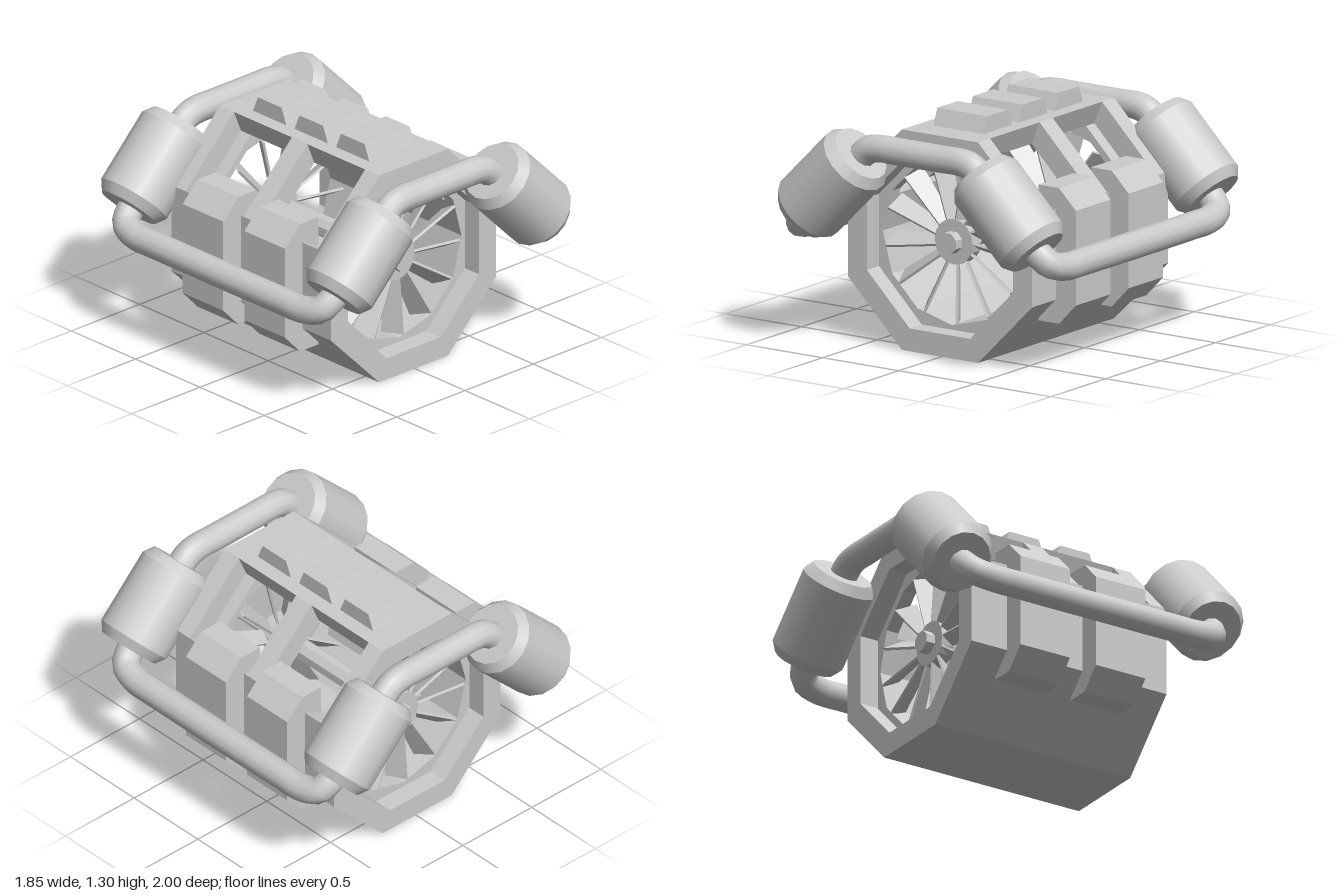
import * as THREE from 'three';

const mat = new THREE.MeshStandardMaterial({ color: 0xcccccc });
const flatMat = new THREE.MeshStandardMaterial({ color: 0xcccccc, flatShading: true });

const toShape = (pts) => new THREE.Shape(pts.map(([x, y]) => new THREE.Vector2(x, y)));

// Regular octagon with flat top, given its apothem
function octagon(a) {
  const h = a * Math.tan(Math.PI / 8);
  return [[h, a], [-h, a], [-a, h], [-a, -h], [-h, -a], [h, -a], [a, -h], [a, h]];
}

function polygon(n, r) {
  return Array.from({ length: n }, (_, i) => {
    const t = (i / n) * Math.PI * 2;
    return [Math.cos(t) * r, Math.sin(t) * r];
  });
}

function add(parent, name, geometry, material = flatMat) {
  const mesh = new THREE.Mesh(geometry, material);
  mesh.name = name;
  parent.add(mesh);
  return mesh;
}

// Extrude a profile along z between z0 and z1
function slab(parent, name, pts, z0, z1, hole) {
  const shape = toShape(pts);
  if (hole) shape.holes.push(toShape(hole));
  const geo = new THREE.ExtrudeGeometry(shape, { depth: z1 - z0, bevelEnabled: false });
  geo.translate(0, 0, z0);
  return add(parent, name, geo);
}

function pipe(parent, name, pts) {
  const curve = new THREE.CatmullRomCurve3(pts.map((p) => new THREE.Vector3(...p)), false, 'centripetal');
  return add(parent, name, new THREE.TubeGeometry(curve, 48, 0.076, 12, false), mat);
}

function createRotor() {
  const rotor = new THREE.Group();
  rotor.name = 'rotor';
  const hub = add(rotor, 'hub', new THREE.CylinderGeometry(0.125, 0.125, 0.08, 16));
  hub.rotation.x = Math.PI / 2;
  // Tapered pitched blade, wider at the tip
  const blade = new THREE.BoxGeometry(0.125, 0.35, 0.014);
  const p = blade.attributes.position;
  for (let i = 0; i < p.count; i++) if (p.getY(i) < 0) p.setX(i, p.getX(i) * 0.65);
  blade.rotateY(Math.PI / 3);
  blade.translate(0, 0.27, 0);
  const count = 13;
  for (let i = 0; i < count; i++) {
    add(rotor, 'blade', blade).rotation.z = ((i + 0.5) / count) * Math.PI * 2;
  }
  return rotor;
}

export function createModel() {
  const model = new THREE.Group();
  model.name = 'fanEngine';

  // Octagonal housing, built around its own axis
  const body = new THREE.Group();
  body.name = 'housing';
  body.position.set(-0.01, 0.605, -0.01);
  model.add(body);
  const outer = octagon(0.605), inner = octagon(0.48), bore = polygon(12, 0.455);

  for (const s of [-1, 1]) {
    const span = (a, b) => (s > 0 ? [a, b] : [-b, -a]);
    slab(body, 'endFrame', outer, ...span(0.51, 0.62), inner);
    slab(body, 'boreRing', inner, ...span(0.435, 0.51), bore);
  }

  // Lower five walls and the top wall; upper diagonals stay open
  slab(body, 'lowerShell', [...outer.slice(2), ...inner.slice(2).reverse()], -0.51, 0.51);
  slab(body, 'topWall', [outer[0], outer[1], inner[1], inner[0]], -0.51, 0.51);
  slab(body, 'middleRib', [outer[1], outer[2], inner[2], inner[1]], -0.06, 0.06);
  slab(body, 'middleRib', [outer[7], outer[0], inner[0], inner[7]], -0.06, 0.06);

  // Lower half of the bore lining, cut level below the openings
  const lowerBore = [...bore.filter(([, y]) => y < 0.1)];
  const arc = [...lowerBore].sort((a, b) => Math.atan2(a[0], -a[1] - 0.001) - Math.atan2(b[0], -b[1] - 0.001));
  slab(body, 'boreLining', [...inner.slice(2), [0.401, 0.199], ...arc.reverse(), [-0.401, 0.199]], -0.435, 0.435);

  // Shaft and the two fan rotors
  const shaftGeo = new THREE.CylinderGeometry(0.06, 0.06, 1.1, 8);
  shaftGeo.rotateY(Math.PI / 8);
  add(body, 'shaft', shaftGeo).rotation.x = Math.PI / 2;
  for (const s of [-1, 1]) {
    const rotor = createRotor();
    rotor.position.z = s * 0.455;
    if (s < 0) rotor.rotation.y = Math.PI;
    body.add(rotor);
  }

  // Tapered blocks along the roof
  for (const z of [-0.323, 0, 0.323]) {
    const geo = new THREE.ExtrudeGeometry(
      toShape([[-0.13, 0], [0.13, 0], [0.092, 0.093], [-0.092, 0.093]]),
      { depth: 0.33, bevelEnabled: false });
    geo.translate(0, 0, -0.165);
    geo.rotateY(Math.PI / 2);
    add(body, 'roofBlock', geo).position.set(0, 0.603, z);
  }

  // Chamfered boxes on both flanks
  for (const s of [-1, 1]) {
    const profile = [[0.49, -0.38], [0.625, -0.38], [0.735, -0.265], [0.735, 0.255], [0.625, 0.365], [0.49, 0.365]];
    for (const z of [-0.237, 0.243]) {
      slab(body, 'sideBox', profile.map(([x, y]) => [x * s, y]), z - 0.158, z + 0.158);
    }
  }

  // Four canisters tilted at 45 degrees; straight sides smooth, ends chamfered
  const pipeZ = 0.795;
  const chamferGeo = new THREE.CylinderGeometry(0.167, 0.205, 0.055, 16);
  const drumGeo = new THREE.CylinderGeometry(0.205, 0.205, 0.424, 16, 1, true);
  for (const sx of [-1, 1]) for (const sz of [-1, 1]) {
    const can = new THREE.Group();
    can.name = 'canister';
    can.position.set(sx * 0.58 - 0.003, 0.907, sz * 0.797);
    can.rotation.z = sx * Math.PI / 4;
    add(can, 'drum', drumGeo, mat);
    add(can, 'upperEnd', chamferGeo, mat).position.y = 0.2395;
    const low = add(can, 'lowerEnd', chamferGeo, mat);
    low.position.y = -0.2395;
    low.rotation.x = Math.PI;
    model.add(can);
  }

  // Cross pipes over the front and back
  for (const s of [-1, 1]) {
    const half = [[0.48, 1.0], [0.39, 1.085], [0.335, 1.125], [0.27, 1.14], [0.15, 1.14]];
    const pts = [
      ...half.map(([x, y]) => [-x - 0.005, y, s * pipeZ]),
      ...half.reverse().map(([x, y]) => [x - 0.005, y, s * pipeZ]),
    ];
    pipe(model, 'crossPipe', pts);
  }

  // Long pipes joining the canisters along each side
  for (const s of [-1, 1]) {
    const half = [[0.70, 0.77, 0.79], [0.78, 0.695, 0.785], [0.825, 0.65, 0.755], [0.85, 0.624, 0.65], [0.852, 0.622, 0.5]];
    const pts = [
      ...half.map(([x, y, z]) => [x * s - 0.003, y, z]),
      ...half.reverse().map(([x, y, z]) => [x * s - 0.003, y, -z]),
    ];
    pipe(model, 'sidePipe', pts);
  }

  return model;
}
